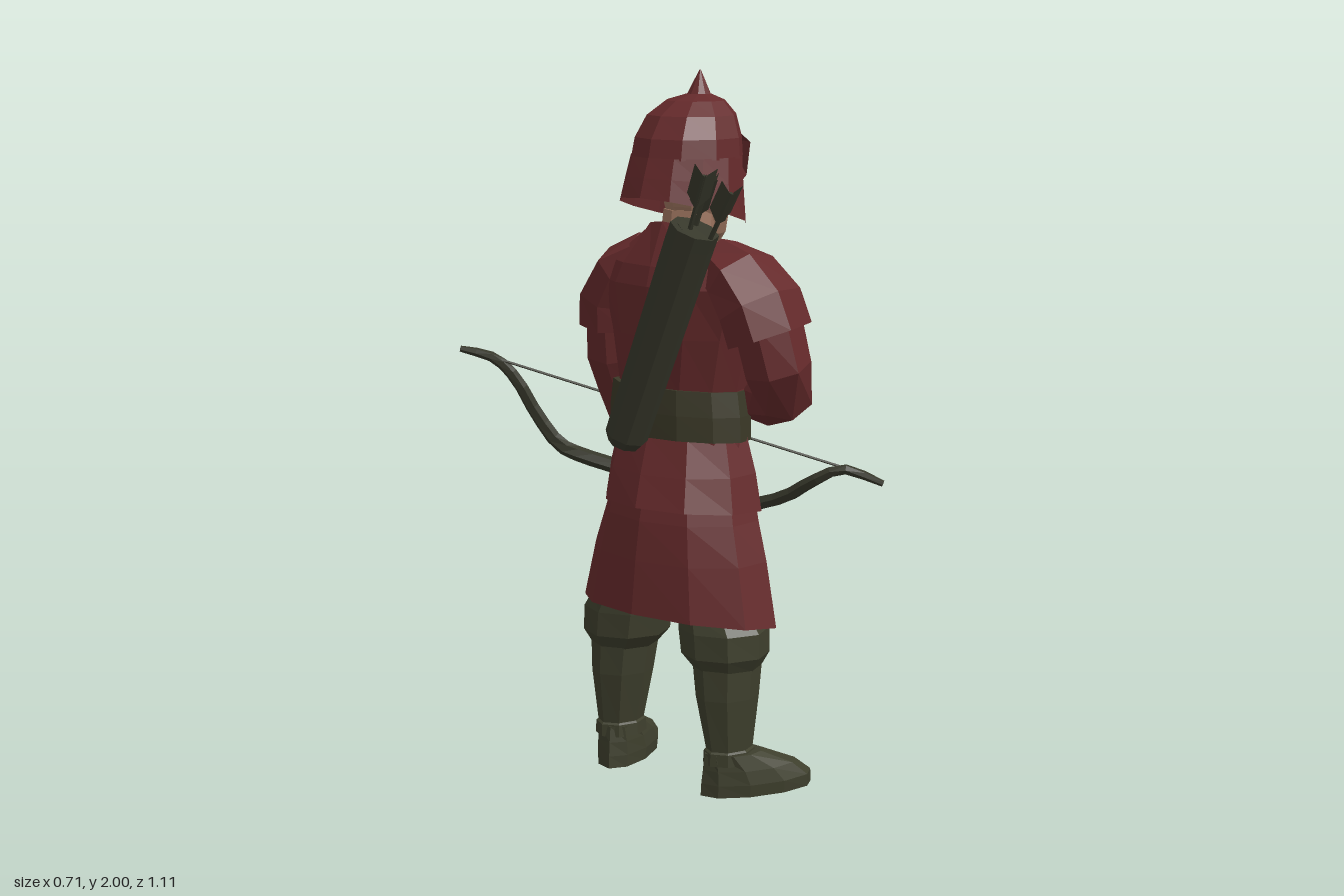
import * as THREE from 'three';

const V = (x, y, z) => new THREE.Vector3(x, y, z);
const mat = (name, color) => {
  const m = new THREE.MeshStandardMaterial({ color, flatShading: true, side: THREE.DoubleSide });
  m.name = name;
  return m;
};

// Skins a list of point rings; optional end caps
function skin(rings, caps = true) {
  const pos = [];
  const tri = (a, b, c) => { for (const p of [a, b, c]) pos.push(p.x, p.y, p.z); };
  for (let i = 0; i < rings.length - 1; i++) {
    const lo = rings[i], hi = rings[i + 1];
    for (let j = 0; j < lo.length - 1; j++) {
      tri(lo[j], hi[j], hi[j + 1]);
      tri(lo[j], hi[j + 1], lo[j + 1]);
    }
  }
  if (caps) {
    for (const [ring, top] of [[rings[0], false], [rings[rings.length - 1], true]]) {
      for (let j = 1; j < ring.length - 2; j++) {
        if (top) tri(ring[0], ring[j + 1], ring[j]);
        else tri(ring[0], ring[j], ring[j + 1]);
      }
    }
  }
  const g = new THREE.BufferGeometry();
  g.setAttribute('position', new THREE.Float32BufferAttribute(pos, 3));
  g.computeVertexNormals();
  return g;
}

// Level ellipse [y, cx, cz, rx, rz]; angle 0 faces +x, gap opens the front
function level([y, cx, cz, rx, rz, gap = 0, tilt = 0], n, from = gap, to = Math.PI * 2 - gap) {
  return Array.from({ length: n + 1 }, (_, j) => {
    const a = from + (to - from) * j / n, dx = rx * Math.cos(a);
    return V(cx + dx, y + tilt * dx, cz + rz * Math.sin(a));
  });
}
const loft = (rows, n, caps = true) => skin(rows.map(r => level(r, n)), caps);

// Tapered limb through [x, y, z, ra, rb] points
function limb(pts, n = 7) {
  const c = pts.map(p => V(p[0], p[1], p[2]));
  return skin(pts.map((p, i) => {
    const d = c[Math.min(i + 1, c.length - 1)].clone().sub(c[Math.max(i - 1, 0)]).normalize();
    const ref = Math.abs(d.x) > 0.9 ? V(0, 1, 0) : V(1, 0, 0);
    const u = ref.addScaledVector(d, -ref.dot(d)).normalize();
    const v = u.clone().cross(d);
    return Array.from({ length: n + 1 }, (_, j) => {
      const a = (j % n) / n * Math.PI * 2;
      return c[i].clone().addScaledVector(u, p[3] * Math.cos(a)).addScaledVector(v, (p[4] ?? p[3]) * Math.sin(a));
    });
  }));
}

export function createModel() {
  const red = mat('red cloth', 0x652a2b), olive = mat('olive leather', 0x3e3f2d);
  const dark = mat('dark wood', 0x36372a), beltMat = mat('belt leather', 0x3a3827);
  const skinMat = mat('skin', 0x9c745e), lip = mat('lip', 0x5a3a32);
  const model = new THREE.Group();
  model.name = 'archer';
  const add = (name, geo, m, parent = model) => {
    const mesh = new THREE.Mesh(geo, m);
    mesh.name = name;
    parent.add(mesh);
    return mesh;
  };

  // Tunic body, collar dipping at the front
  const body = [
    [0.95, -0.08, 0.13, 0.14, 0.21], [1.13, -0.08, 0.13, 0.145, 0.2], [1.28, -0.085, 0.14, 0.155, 0.23],
    [1.42, -0.095, 0.145, 0.15, 0.27], [1.475, -0.1, 0.145, 0.13, 0.235], [1.54, -0.085, 0.14, 0.09, 0.11, 0, -0.6]];
  add('tunic', loft(body, 12), red);

  // Two-tier coat skirt, slit at the front
  add('upperSkirt', loft([[0.8, -0.1, 0.15, 0.197, 0.25, 0, -0.06], [0.9, -0.09, 0.14, 0.175, 0.235],
    [1.0, -0.08, 0.13, 0.145, 0.21]], 10, false), red);
  add('lowerSkirt', loft([[0.485, -0.108, 0.145, 0.2, 0.325, 0.1, -0.13], [0.66, -0.105, 0.145, 0.187, 0.285, 0.05],
    [0.77, -0.1, 0.145, 0.175, 0.25], [0.86, -0.09, 0.14, 0.16, 0.23]], 10, false), red);

  // Belt with hanging knot
  add('belt', loft([[0.99, -0.085, 0.125, 0.16, 0.225, 0, -0.07], [1.06, -0.085, 0.125, 0.16, 0.222, 0, -0.07],
    [1.13, -0.085, 0.125, 0.155, 0.212, 0, -0.07]], 12), beltMat);
  add('beltKnot', new THREE.BoxGeometry(0.03, 0.13, 0.04), beltMat).position.set(0.085, 1.0, 0.07);

  // Shoulder strap, laid over the chest and widening to the belt
  const chest = (y, z) => {
    let i = 0;
    while (i < body.length - 2 && body[i + 1][0] < y) i++;
    const t = (y - body[i][0]) / (body[i + 1][0] - body[i][0]);
    const [, cx, cz, rx, rz] = body[i].slice(0, 5).map((v, k) => v + (body[i + 1][k] - v) * t);
    return V(cx + rx * Math.sqrt(Math.max(0, 1 - ((z - cz) / rz) ** 2)) + 0.008, y, z);
  };
  add('strap', skin([-0.03, 0.03].map(side => Array.from({ length: 11 }, (_, i) => {
    const t = i / 10, w = side * (0.75 + 0.7 * t);
    return chest(1.5 - 0.42 * t - 0.6 * w, 0.3 - 0.36 * t + 0.8 * w);
  })), false), beltMat);

  // Head, nose and mouth
  add('neck', loft([[1.45, -0.075, 0.14, 0.085, 0.08], [1.62, -0.055, 0.14, 0.08, 0.075]], 8), skinMat);
  add('face', loft([[1.515, 0.005, 0.14, 0.045, 0.025], [1.55, -0.02, 0.14, 0.085, 0.06], [1.63, -0.03, 0.14, 0.1, 0.085],
    [1.71, -0.04, 0.14, 0.11, 0.095], [1.8, -0.05, 0.14, 0.1, 0.095]], 10), skinMat);
  const nose = add('nose', new THREE.ConeGeometry(0.024, 0.08, 4), skinMat);
  nose.position.set(0.075, 1.675, 0.14);
  nose.rotation.z = 0.15;
  add('mouth', new THREE.BoxGeometry(0.008, 0.012, 0.055), lip).position.set(0.067, 1.615, 0.14);

  // Helmet: cheek and neck guard, dome, brow and spike
  add('helmetGuard', loft([[1.615, -0.09, 0.14, 0.175, 0.18, 0.6, -0.28], [1.7, -0.083, 0.14, 0.166, 0.167, 0.6, -0.1],
    [1.77, -0.074, 0.14, 0.157, 0.157, 0.6]], 10, false), red);
  add('helmetDome', loft([[1.765, -0.073, 0.14, 0.158, 0.157], [1.82, -0.068, 0.14, 0.151, 0.15],
    [1.88, -0.055, 0.14, 0.126, 0.126], [1.918, -0.04, 0.14, 0.082, 0.085], [1.935, -0.025, 0.14, 0.032, 0.034],
    [2.0, -0.02, 0.14, 0.002, 0.002]], 10), red);
  const brow = [[1.72, 0.15, 0.15], [1.74, 0.172, 0.16], [1.8, 0.187, 0.165], [1.835, 0.135, 0.145]];
  add('helmetBrow', skin(brow.map(([y, rx, rz], i) => {
    const ring = level([y, -0.07, 0.14, rx, rz], 4, -0.62, 0.62);
    if (i < 2) ring[0].y -= 0.03, ring[4].y -= 0.03;
    return ring;
  }), false), red);

  // Drawing arm
  const drawArm = new THREE.Group();
  drawArm.name = 'drawingArm';
  model.add(drawArm);
  add('sleeveCap', limb([[-0.09, 1.49, 0.27, 0.08, 0.07], [-0.095, 1.45, 0.36, 0.125, 0.09], [-0.095, 1.38, 0.425, 0.14, 0.105],
    [-0.085, 1.3, 0.45, 0.138, 0.108]]), red, drawArm);
  add('sleeve', limb([[-0.085, 1.34, 0.44, 0.105, 0.09], [-0.07, 1.21, 0.465, 0.095], [-0.025, 1.135, 0.45, 0.085],
    [0.045, 1.1, 0.34, 0.08], [0.09, 1.08, 0.24, 0.06]]), red, drawArm);
  add('hand', limb([[0.085, 1.08, 0.255, 0.05], [0.1, 1.075, 0.2, 0.058, 0.062], [0.115, 1.06, 0.14, 0.045, 0.055],
    [0.12, 1.05, 0.1, 0.025, 0.03]], 6), skinMat, drawArm);

  // Bow arm
  const bowArm = new THREE.Group();
  bowArm.name = 'bowArm';
  model.add(bowArm);
  add('sleeveCap', limb([[-0.09, 1.485, 0.02, 0.08, 0.07], [-0.095, 1.445, -0.06, 0.115, 0.075], [-0.09, 1.36, -0.115, 0.122, 0.085],
    [-0.08, 1.28, -0.135, 0.112, 0.085]]), red, bowArm);
  add('sleeve', limb([[-0.08, 1.32, -0.125, 0.095, 0.08], [-0.06, 1.19, -0.142, 0.09, 0.087], [-0.02, 1.1, -0.152, 0.08],
    [0.025, 0.99, -0.157, 0.07, 0.067], [0.05, 0.89, -0.157, 0.055]]), red, bowArm);
  add('hand', limb([[0.05, 0.91, -0.155, 0.045], [0.072, 0.865, -0.15, 0.056, 0.068], [0.077, 0.81, -0.138, 0.054, 0.08],
    [0.077, 0.77, -0.138, 0.035, 0.05]], 6), skinMat, bowArm);

  // Legs: puffed trouser, boot shaft with ankle rim, and splayed foot
  for (const s of [1, -1]) {
    const leg = new THREE.Group();
    leg.name = s > 0 ? 'drawSideLeg' : 'bowSideLeg';
    leg.position.set(-0.12, 0, 0.14);
    model.add(leg);
    add('trouser', loft([[0.36, 0, 0.195 * s, 0.1, 0.09], [0.4, 0, 0.188 * s, 0.126, 0.122],
      [0.47, 0, 0.182 * s, 0.126, 0.128], [0.52, 0, 0.165 * s, 0.115, 0.11], [0.7, 0.01, 0.13 * s, 0.12, 0.12]], 8), olive, leg);
    add('boot', loft([[0.09, -0.005, 0.208 * s, 0.082, 0.066], [0.125, -0.005, 0.208 * s, 0.08, 0.064],
      [0.13, -0.005, 0.208 * s, 0.074, 0.058], [0.28, -0.005, 0.2 * s, 0.096, 0.082], [0.38, 0, 0.195 * s, 0.104, 0.092]], 8), olive, leg);
    const foot = add('foot', loft([[0, 0.073, 0, 0.172, 0.074], [0.035, 0.073, 0, 0.17, 0.078],
      [0.075, 0.05, 0, 0.142, 0.073], [0.12, 0, 0, 0.085, 0.064]], 10), olive, leg);
    foot.position.z = 0.217 * s;
    foot.rotation.y = -0.42 * s;
  }

  // Recurve bow and string
  const bowPath = new THREE.CatmullRomCurve3([[0.35, 0.83, 0.51], [0.28, 0.87, 0.42], [0.24, 0.83, 0.34], [0.23, 0.775, 0.25],
    [0.205, 0.73, 0.1], [0.165, 0.745, 0], [0.08, 0.8, -0.14], [-0.03, 0.855, -0.29], [-0.08, 0.89, -0.35],
    [-0.13, 0.98, -0.395], [-0.19, 1.1, -0.43], [-0.23, 1.155, -0.475], [-0.29, 1.18, -0.55]].map(p => V(...p)));
  add('bow', limb(Array.from({ length: 27 }, (_, i) => {
    const t = i / 26, p = bowPath.getPoint(t);
    return [p.x, p.y, p.z, 0.009 + 0.014 * Math.sin(Math.PI * t) ** 0.6];
  }), 6), dark);
  add('bowString', limb([[0.3, 0.865, 0.45, 0.004], [-0.24, 1.16, -0.485, 0.004]], 4), dark);

  // Arrow from feathered tail to tip
  function arrow(name, tail, tip, head, vaneWidth) {
    const g = new THREE.Group(), a = V(...tail), d = V(...tip).sub(a), len = d.length();
    g.name = name;
    g.position.copy(a);
    g.quaternion.setFromUnitVectors(V(0, 1, 0), d.normalize());
    add('shaft', new THREE.CylinderGeometry(0.007, 0.007, len - 0.04, 5), dark, g).position.y = len / 2;
    if (head) add('arrowhead', new THREE.ConeGeometry(0.035, 0.09, 5), dark, g).position.y = len - 0.045;
    const vane = new THREE.Shape([[0, 0.025], [vaneWidth, 0], [vaneWidth, 0.085], [0, 0.12]].map(p => new THREE.Vector2(...p)));
    for (let i = 0; i < 3; i++) {
      add('feather', new THREE.ShapeGeometry(vane), dark, g).rotation.y = i * Math.PI * 2 / 3;
    }
    model.add(g);
  }
  arrow('nockedArrow', [0.145, 1.06, 0.08], [0.335, 0.485, -0.355], true, 0.026);

  // Quiver on the back with spare arrows, feathers up
  add('quiver', limb([[-0.288, 0.985, 0.1, 0.045], [-0.288, 1.01, 0.11, 0.06], [-0.288, 1.56, 0.342, 0.068],
    [-0.288, 1.6, 0.36, 0.068], [-0.288, 1.6, 0.36, 0.048], [-0.288, 1.57, 0.345, 0.046]], 8), dark);
  arrow('spareArrow', [-0.285, 1.72, 0.495], [-0.285, 1.3, 0.25], false, 0.036);
  arrow('spareArrow', [-0.265, 1.745, 0.4], [-0.28, 1.3, 0.23], false, 0.036);
  arrow('spareArrow', [-0.315, 1.765, 0.425], [-0.29, 1.3, 0.24], false, 0.036);

  return model;
}
